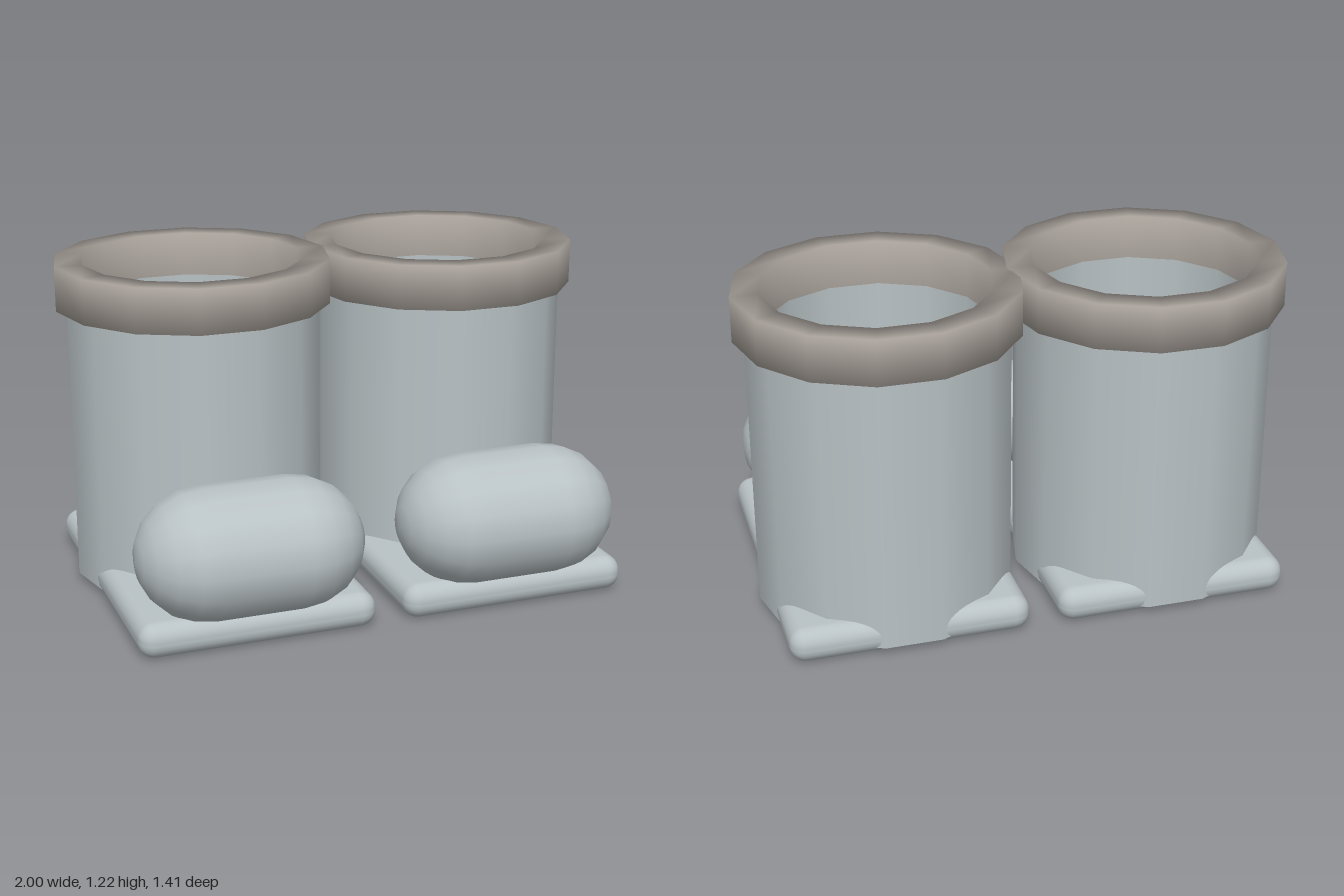
import * as THREE from 'three';
import { mergeGeometries } from 'three/addons/utils/BufferGeometryUtils.js';
import { RoundedBoxGeometry } from 'three/addons/geometries/RoundedBoxGeometry.js';

const SIDES = 14;
const LEG_Z = -0.205;

const lathe = (pts) => new THREE.LatheGeometry(
  pts.map(([r, y]) => new THREE.Vector2(r, y)), SIDES, Math.PI / 2);

// Lathe whose profile corners stay sharp while the round walls shade smoothly
const sharpLathe = (pts) => mergeGeometries(
  pts.slice(1).map((p, i) => lathe([pts[i], p])));

export function createModel() {
  const bootMat = new THREE.MeshStandardMaterial({ color: 0xb9c2c5 });
  const cuffMat = new THREE.MeshStandardMaterial({ color: 0xa9a29b });

  // Hollow leg tube with a floor inside
  const shaftGeo = sharpLathe([
    [0, 0.03], [0.47, 0.03], [0.47, 1.1], [0.412, 1.1], [0.412, 0.135], [0, 0.135],
  ]);
  // Thick ring round the opening, softly shaded across its corners
  const cuffGeo = lathe([
    [0.41, 1.05], [0.51, 1.05], [0.51, 1.215], [0.41, 1.215], [0.41, 1.05],
  ]);
  // Flat rounded sole
  const soleGeo = new RoundedBoxGeometry(0.868, 0.13, 1.255, 3, 0.06);
  // Toe: a capsule lying across the boot
  const toeGeo = new THREE.CapsuleGeometry(0.255, 0.315, 5, 16);
  toeGeo.rotateZ(Math.PI / 2);
  toeGeo.scale(1, 0.935, 1);

  const model = new THREE.Group();
  model.name = 'boots';
  for (const [side, x] of [['left', 0.488], ['right', -0.488]]) {
    const boot = new THREE.Group();
    boot.name = `${side}Boot`;
    boot.position.x = x;
    const add = (name, geo, mat, y, z) => {
      const mesh = new THREE.Mesh(geo, mat);
      mesh.name = name;
      mesh.position.set(0, y, z);
      boot.add(mesh);
    };
    add('shaft', shaftGeo, bootMat, 0, LEG_Z);
    add('cuff', cuffGeo, cuffMat, 0, LEG_Z);
    add('sole', soleGeo, bootMat, 0.065, -0.03);
    add('toe', toeGeo, bootMat, 0.317, 0.455);
    model.add(boot);
  }
  return model;
}
